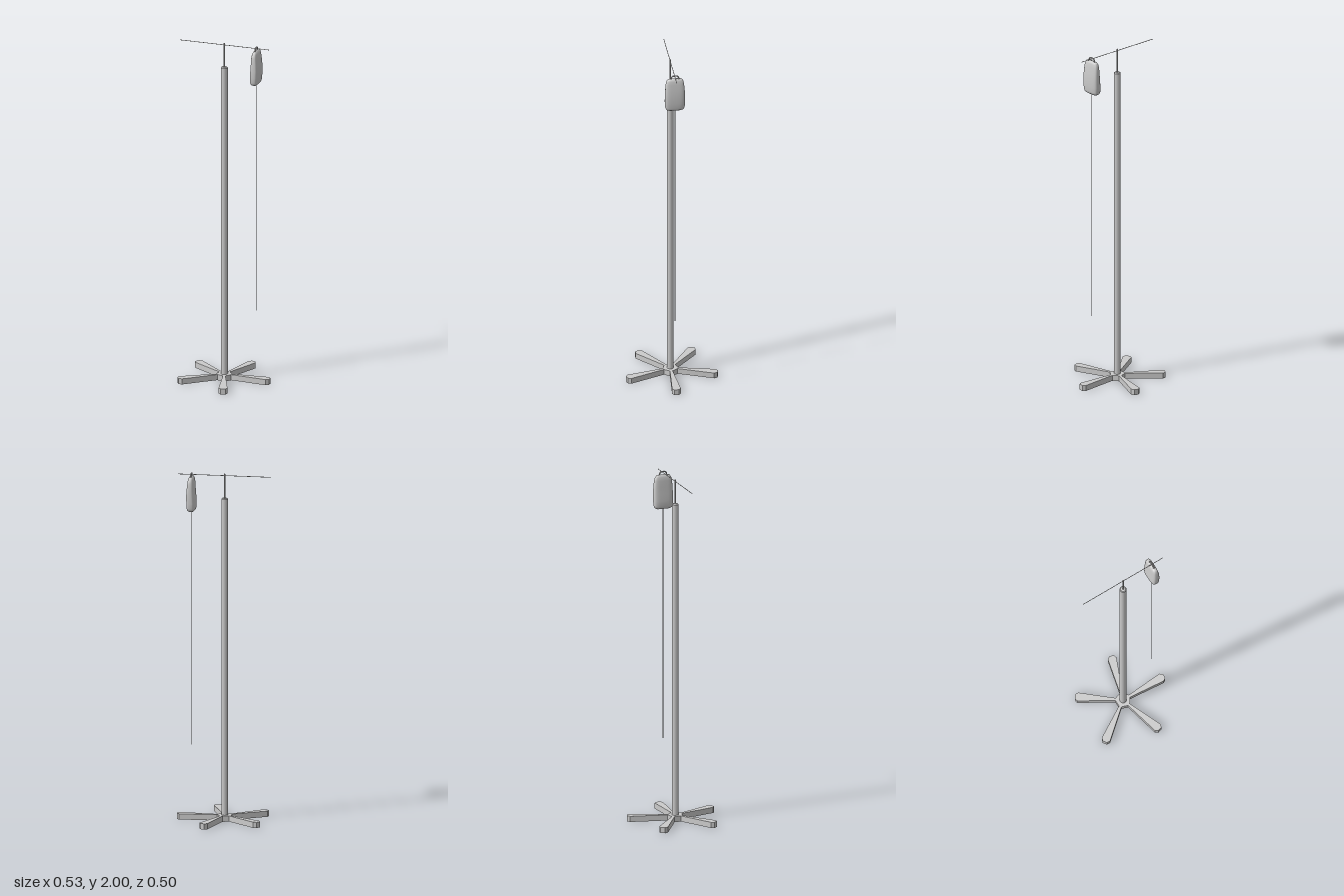
import * as THREE from 'three';

const grey = new THREE.MeshStandardMaterial({ color: 0xcccccc });
const POLE_Z = -0.024;

function part(name, geometry, parent, x = 0, y = 0, z = 0) {
  const mesh = new THREE.Mesh(geometry, grey);
  mesh.name = name;
  mesh.position.set(x, y, z);
  parent.add(mesh);
  return mesh;
}

// Five-legged foot: one leg outline repeated around the hub
function footGeometry() {
  const leg = [[-0.0075, 0.043], [-0.025, 0.256], [-0.013, 0.272], [0.013, 0.272], [0.025, 0.256], [0.0075, 0.043]];
  const points = [];
  for (let i = 0; i < 5; i++) {
    const a = -i * Math.PI * 2 / 5;
    for (const [x, y] of leg) {
      points.push(new THREE.Vector2(x * Math.cos(a) - y * Math.sin(a), x * Math.sin(a) + y * Math.cos(a)));
    }
  }
  const geo = new THREE.ExtrudeGeometry(new THREE.Shape(points), { depth: 0.033, bevelEnabled: false });
  // Shape +y becomes +z; top face ends up at y = 0
  return geo.rotateX(Math.PI / 2).translate(0, 0.033, 0);
}

// Soft pouch: rounded-rectangle rings stacked from bottom to top
function bagGeometry() {
  // [height, half thickness, half width, thickness offset]
  const rings = [
    [1.780, 0.001, 0.002, -0.002], [1.781, 0.013, 0.040, -0.002], [1.787, 0.020, 0.050, -0.002],
    [1.800, 0.024, 0.055, -0.002], [1.830, 0.025, 0.057, -0.001], [1.870, 0.024, 0.057, 0.001],
    [1.910, 0.021, 0.055, 0.001], [1.945, 0.018, 0.052, 0], [1.965, 0.015, 0.047, 0],
    [1.976, 0.010, 0.038, 0], [1.980, 0.001, 0.002, 0]];
  const n = 32, pos = [], idx = [];
  const round = (v) => Math.sign(v) * Math.pow(Math.abs(v), 0.55);
  for (const [y, t, w, off] of rings) {
    for (let j = 0; j < n; j++) {
      const a = j / n * Math.PI * 2;
      pos.push(off + t * round(Math.cos(a)), y, w * round(Math.sin(a)));
    }
  }
  for (let i = 0; i < rings.length - 1; i++) {
    for (let j = 0; j < n; j++) {
      const a = i * n + j, b = i * n + (j + 1) % n;
      idx.push(a, a + n, b, b, a + n, b + n);
    }
  }
  const geo = new THREE.BufferGeometry();
  geo.setAttribute('position', new THREE.Float32BufferAttribute(pos, 3));
  geo.setIndex(idx);
  geo.computeVertexNormals();
  return geo;
}

export function createModel() {
  const model = new THREE.Group();
  model.name = 'dripStand';

  const stand = new THREE.Group();
  stand.name = 'stand';
  stand.position.z = POLE_Z;
  model.add(stand);

  part('foot', footGeometry(), stand);
  part('pole', new THREE.CylinderGeometry(0.0195, 0.0195, 1.825, 16), stand, 0, 0.9425, 0);
  part('poleCap', new THREE.CylinderGeometry(0.015, 0.0195, 0.005, 16), stand, 0, 1.8575, 0);
  part('upperRod', new THREE.CylinderGeometry(0.0045, 0.0045, 0.14, 12), stand, 0, 1.93, 0);

  // Crossbar and hanging bag share one heading, in line with a leg
  const hanger = new THREE.Group();
  hanger.name = 'hanger';
  hanger.rotation.y = -Math.PI / 10;
  stand.add(hanger);

  part('crossbar', new THREE.CylinderGeometry(0.0018, 0.0018, 0.532, 8).rotateZ(Math.PI / 2), hanger, 0, 1.99, 0);

  const bag = new THREE.Group();
  bag.name = 'bagAssembly';
  bag.position.x = 0.191;
  hanger.add(bag);
  part('bag', bagGeometry(), bag);

  // Loop that hooks over the crossbar
  const loop = new THREE.CatmullRomCurve3([
    [1.968, -0.021], [1.984, -0.021], [1.994, -0.013], [1.996, 0],
    [1.994, 0.013], [1.984, 0.021], [1.968, 0.021]].map(([y, z]) => new THREE.Vector3(0, y, z)));
  part('bagLoop', new THREE.TubeGeometry(loop, 28, 0.004, 8), bag);

  // Thin line hanging from the bag
  part('dripLine', new THREE.CylinderGeometry(0.002, 0.002, 1.36, 8), bag, 0, 1.11, 0);

  return model;
}
